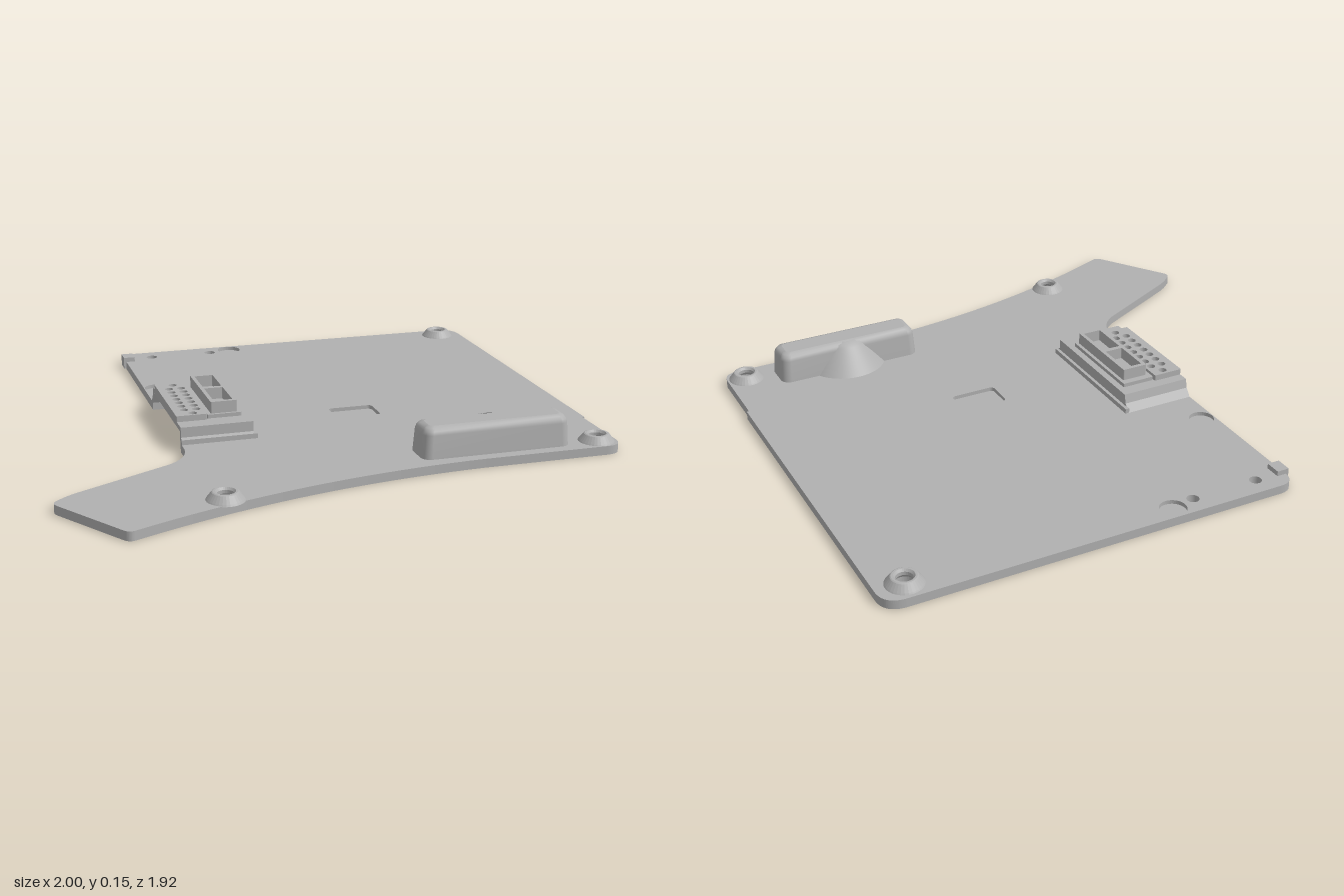
import * as THREE from 'three';

const grey = new THREE.MeshStandardMaterial({ color: 0xb0b0b0 });
grey.name = 'grey';
const greyThin = grey;
greyThin.side = THREE.DoubleSide;

// Plan shapes are drawn in (x, -z) and extruded upward
function slab(shape, y0, y1) {
  const g = new THREE.ExtrudeGeometry(shape, { depth: y1 - y0, bevelEnabled: false, curveSegments: 20 });
  g.rotateX(-Math.PI / 2);
  g.translate(0, y0, 0);
  return g;
}
function add(parent, name, geometry) {
  const m = new THREE.Mesh(geometry, grey);
  m.name = name;
  parent.add(m);
  return m;
}
function box(parent, name, x0, x1, y0, y1, z0, z1) {
  const m = add(parent, name, new THREE.BoxGeometry(x1 - x0, y1 - y0, z1 - z0));
  m.position.set((x0 + x1) / 2, (y0 + y1) / 2, (z0 + z1) / 2);
  return m;
}
function circle(x, z, r) {
  const p = new THREE.Path();
  p.absarc(x, -z, r, 0, Math.PI * 2, true);
  return p;
}
function roundRect(x0, x1, z0, z1, r, Kind = THREE.Shape) {
  const p = new Kind();
  p.absarc(x1 - r, -z0 - r, r, 0, Math.PI / 2);
  p.absarc(x0 + r, -z0 - r, r, Math.PI / 2, Math.PI);
  p.absarc(x0 + r, -z1 + r, r, Math.PI, Math.PI * 1.5);
  p.absarc(x1 - r, -z1 + r, r, Math.PI * 1.5, Math.PI * 2);
  p.closePath();
  return p;
}

// Plate outline with the swept arm and the notch below the connector
function plateOutline() {
  const s = new THREE.Shape();
  s.moveTo(-0.495, 0.9);
  s.quadraticCurveTo(-0.495, 0.96, -0.435, 0.96);
  s.lineTo(0.92, 0.957);
  s.quadraticCurveTo(1, 0.957, 1, 0.88);
  s.lineTo(1, -0.35);
  s.lineTo(0.992, -0.35);
  s.lineTo(0.992, -0.61);
  s.quadraticCurveTo(0.99, -0.668, 0.93, -0.668);
  s.lineTo(0.47, -0.668);
  s.bezierCurveTo(0.05, -0.68, -0.36, -0.765, -0.79, -0.955);
  s.quadraticCurveTo(-0.81, -0.965, -0.825, -0.945);
  s.lineTo(-0.99, -0.69);
  s.quadraticCurveTo(-1.01, -0.66, -0.98, -0.64);
  s.quadraticCurveTo(-0.95, -0.61, -0.9, -0.585);
  s.lineTo(-0.58, -0.42);
  s.bezierCurveTo(-0.53, -0.39, -0.495, -0.34, -0.495, -0.27);
  s.lineTo(-0.495, -0.22);
  s.lineTo(-0.24, -0.22);
  s.lineTo(-0.24, 0.28);
  s.lineTo(-0.495, 0.28);
  s.closePath();
  return s;
}

const bosses = [[0.9, -0.88], [0.92, 0.6], [-0.47, 0.78]];

function buildPlate(root) {
  // Opening below the hollow housing and its conical bulge
  const opening = new THREE.Path();
  opening.moveTo(0.28, -0.605);
  opening.lineTo(0.79, -0.605);
  opening.lineTo(0.79, -0.505);
  opening.lineTo(0.665, -0.505);
  opening.quadraticCurveTo(0.535, -0.335, 0.405, -0.505);
  opening.lineTo(0.28, -0.505);
  opening.closePath();
  const through = [opening, circle(-0.38, -0.89, 0.022), circle(-0.13, -0.89, 0.022),
    ...bosses.map(([x, z]) => circle(x, z, 0.034))];
  const under = [circle(-0.25, -0.87, 0.06), circle(-0.82, 0.82, 0.055)];
  const above = [circle(-0.042, -0.908, 0.047), circle(-0.447, -0.455, 0.045),
    roundRect(0.12, 0.29, -0.01, 0.105, 0.015, THREE.Path)];
  [['plateBottom', under, 0, 0.008], ['plateCore', [], 0.008, 0.018], ['plateTop', above, 0.018, 0.032]]
    .forEach(([name, extra, y0, y1]) => {
      const s = plateOutline();
      s.holes.push(...through, ...extra);
      add(root, name, slab(s, y0, y1));
    });
  box(root, 'edgeClip', -0.505, -0.46, 0.005, 0.05, -0.905, -0.847);
}

// Tapered ring around each screw hole
function buildBosses(root) {
  const profile = [[0.034, 0.03], [0.066, 0.03], [0.062, 0.036], [0.045, 0.058], [0.041, 0.06],
    [0.034, 0.06], [0.028, 0.052], [0.028, 0.04], [0.034, 0.03]].map(p => new THREE.Vector2(...p));
  for (const [x, z] of bosses) {
    const g = new THREE.LatheGeometry(profile, 32).toNonIndexed();
    g.computeVertexNormals();
    add(root, 'screwBoss', g).position.set(x, 0, z);
  }
}

// Hollow housing lofted from shrinking rounded rectangles
function buildHousing(root) {
  const levels = [[0.03, 0], [0.115, 0.006], [0.128, 0.01], [0.138, 0.018], [0.143, 0.032]];
  const pos = [], idx = [];
  let n = 0;
  const outline = i => roundRect(0.26 + i, 0.81 - i, 0.488 + i, 0.627 - i, 0.034 - i * 0.5);
  levels.forEach(([y, inset]) => {
    const pts = outline(inset).getPoints(6);
    n = pts.length;
    pts.forEach(p => pos.push(p.x, y, -p.y));
  });
  for (let l = 0; l < levels.length - 1; l++) {
    for (let i = 0; i < n; i++) {
      const a = l * n + i, b = l * n + (i + 1) % n;
      idx.push(a, b, b + n, a, b + n, a + n);
    }
  }
  const g = new THREE.BufferGeometry();
  g.setAttribute('position', new THREE.Float32BufferAttribute(pos, 3));
  g.setIndex(idx);
  g.computeVertexNormals();
  add(root, 'housingWall', g);
  const cap = new THREE.ShapeGeometry(outline(0.032), 6);
  cap.rotateX(-Math.PI / 2);
  add(root, 'housingRoof', cap).position.y = 0.143;
  // Conical bulge leaning on the back of the housing
  const cone = [[0.154, 0.03], [0.085, 0.124], [0.074, 0.135], [0.055, 0.141]].map(p => new THREE.Vector2(...p));
  add(root, 'housingBulge', new THREE.LatheGeometry(cone, 28, Math.PI - 1.1, 2.2)).position.set(0.535, 0, 0.564);
}

// Raised connector, open underneath and on its outer side
function buildConnector(root) {
  const c = new THREE.Group();
  c.name = 'connector';
  root.add(c);

  // Bridge section in (z, y), extruded along x
  const points = [[0.24, 0.03], [0.24, 0.05], [0.228, 0.056], [0.228, 0.093], [-0.27, 0.093], [-0.278, 0.06],
    [-0.302, 0.03], [-0.275, 0.03], [-0.255, 0.07], [0.215, 0.07], [0.215, 0.03]];
  const strip = (x0, x1, pts, name) => {
    const s = new THREE.Shape(pts.map(([z, y]) => new THREE.Vector2(-z, y)));
    const g = new THREE.ExtrudeGeometry(s, { depth: x1 - x0, bevelEnabled: false });
    g.rotateY(Math.PI / 2);
    g.translate(x0, 0, 0);
    add(c, name, g);
  };
  strip(-0.385, -0.232, points, 'bridge');
  strip(-0.495, -0.385, [...points.slice(0, 4), [0.215, 0.093], [0.215, 0.03]], 'frontRib');
  strip(-0.495, -0.385, [[-0.255, 0.093], ...points.slice(4, 8), [-0.255, 0.07]], 'backRib');
  box(c, 'innerWall', -0.25, -0.232, 0.02, 0.08, -0.27, 0.225);
  box(c, 'innerStep', -0.235, -0.22, 0.03, 0.05, -0.3, 0.24);

  // Pin blocks: two columns of seven holes, one mounting hole at each end
  const pinHoles = [];
  for (let i = 0; i < 7; i++) {
    for (const x of [-0.455, -0.41]) pinHoles.push(circle(x, -0.16 + i * 0.0433, 0.015));
  }
  const roof = roundRect(-0.495, -0.385, -0.256, 0.216, 0.002);
  roof.holes.push(...pinHoles);
  add(c, 'pinRoof', slab(roof, 0.075, 0.093));
  const block = roundRect(-0.497, -0.385, -0.23, 0.165, 0.004);
  block.holes.push(...pinHoles, circle(-0.432, -0.205, 0.015), circle(-0.432, 0.143, 0.015));
  add(c, 'pinBlock', slab(block, 0.093, 0.115));

  // Socket frame with two open bays
  const base = roundRect(-0.382, -0.257, -0.22, 0.155, 0.004);
  add(c, 'socketBase', slab(base, 0.093, 0.107));
  const frame = roundRect(-0.367, -0.27, -0.195, 0.145, 0.004);
  frame.holes.push(roundRect(-0.353, -0.284, -0.18, -0.038, 0.003, THREE.Path),
    roundRect(-0.353, -0.284, -0.02, 0.13, 0.003, THREE.Path));
  add(c, 'socketFrame', slab(frame, 0.107, 0.15));
}

export function createModel() {
  const root = new THREE.Group();
  root.name = 'coverPlate';
  buildPlate(root);
  buildBosses(root);
  buildHousing(root);
  buildConnector(root);
  return root;
}
